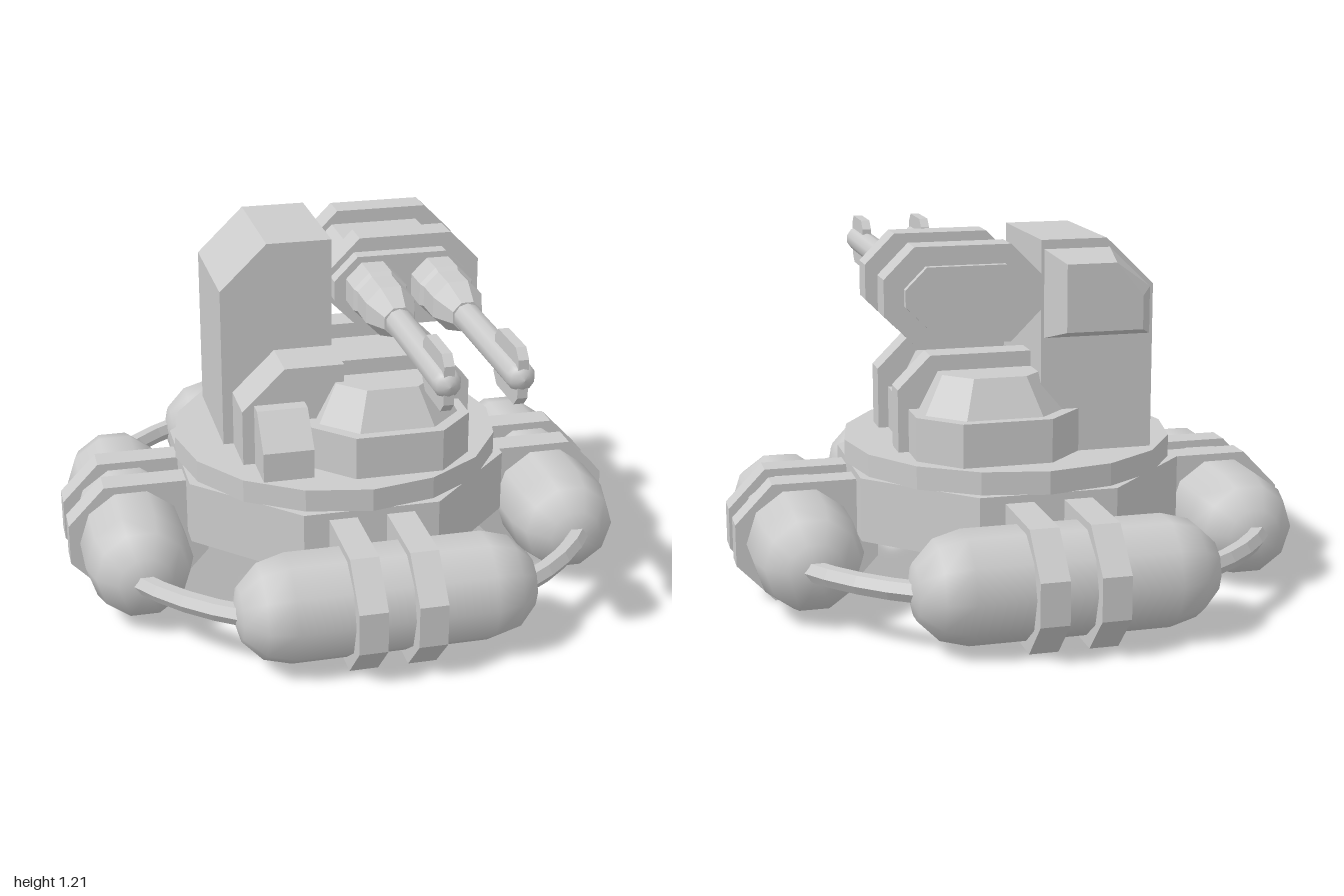
import * as THREE from 'three';

const mat = new THREE.MeshStandardMaterial({ color: 0xcccccc });
const flat = new THREE.MeshStandardMaterial({ color: 0xcccccc, flatShading: true });

function add(parent, name, geometry, material = flat) {
  const mesh = new THREE.Mesh(geometry, material);
  mesh.name = name;
  parent.add(mesh);
  return mesh;
}

// Rectangle with chamfered corners, counter-clockwise
function octagon(x0, x1, y0, y1, c) {
  return [[x0 + c, y0], [x1 - c, y0], [x1, y0 + c], [x1, y1 - c],
    [x1 - c, y1], [x0 + c, y1], [x0, y1 - c], [x0, y0 + c]];
}

// Front profile pushed along z
function slab(points, z0, z1, hole) {
  const shape = new THREE.Shape(points.map(p => new THREE.Vector2(...p)));
  if (hole) shape.holes.push(new THREE.Path(hole.map(p => new THREE.Vector2(...p))));
  return new THREE.ExtrudeGeometry(shape, { depth: z1 - z0, bevelEnabled: false }).translate(0, 0, z0);
}

// Solid through matching rings, each counter-clockwise seen from the last one
function loft(rings) {
  const pos = [], n = rings[0].length;
  const tri = (a, b, c) => pos.push(...a, ...b, ...c);
  for (let r = 0; r < rings.length - 1; r++) {
    for (let i = 0; i < n; i++) {
      const j = (i + 1) % n, a = rings[r], b = rings[r + 1];
      tri(a[i], a[j], b[j]);
      tri(a[i], b[j], b[i]);
    }
  }
  const first = rings[0], last = rings[rings.length - 1];
  for (let i = 1; i < n - 1; i++) {
    tri(first[0], first[i + 1], first[i]);
    tri(last[0], last[i], last[i + 1]);
  }
  const g = new THREE.BufferGeometry();
  g.setAttribute('position', new THREE.Float32BufferAttribute(pos, 3));
  g.computeVertexNormals();
  return g;
}

// Four floats with straps, joined by curved pipes
function buildFloats() {
  const floats = new THREE.Group();
  floats.name = 'floatRing';
  const strap = [[0.955, 0.13], [0.955, 0.27], [0.83, 0.4], [0.48, 0.4],
    [0.48, 0.13], [0.6, 0], [0.83, 0]];
  for (let i = 0; i < 4; i++) {
    const unit = new THREE.Group();
    unit.name = 'floatUnit';
    unit.rotation.y = i * Math.PI / 2;
    add(unit, 'float', new THREE.CapsuleGeometry(0.18, 0.65, 3, 10)
      .rotateX(Math.PI / 2).translate(0.74, 0.203, 0), mat);
    for (const z of [-0.097, 0.097]) add(unit, 'floatStrap', slab(strap, z - 0.047, z + 0.047));
    add(unit, 'connectingPipe', new THREE.TorusGeometry(0.89, 0.035, 6, 6, 0.75)
      .rotateZ(Math.PI / 4 - 0.375).rotateX(Math.PI / 2).translate(0, 0.205, 0));
    floats.add(unit);
  }
  return floats;
}

// Hollow octagonal skirt under a round deck
function buildBase() {
  const base = new THREE.Group();
  base.name = 'base';
  const skirt = slab(octagon(-0.55, 0.55, -0.55, 0.55, 0.322), 0.21, 0.425,
    octagon(-0.52, 0.52, -0.52, 0.52, 0.305)).rotateX(-Math.PI / 2);
  add(base, 'skirt', skirt);
  add(base, 'deck', new THREE.CylinderGeometry(0.563, 0.563, 0.077, 16).translate(0, 0.462, 0));
  return base;
}

// Low cabin with sloped roof and two hoops
function buildCabin() {
  const cabin = new THREE.Group();
  cabin.name = 'cabin';
  const ring = (inset, y) => octagon(-0.16 + inset, 0.385 - inset, -0.43 + inset, 0.51 - inset, 0.125 - inset * 0.4)
    .map(([x, v]) => [x, y, -v]);
  add(cabin, 'cabinBody', loft([ring(0, 0.5), ring(0, 0.645), ring(0.035, 0.645), ring(0.1, 0.768)]));
  const hoop = [[-0.2, 0.5], [0.42, 0.5], [0.42, 0.71], [0.31, 0.82], [-0.09, 0.82], [-0.2, 0.71]];
  for (const z of [0.133, -0.213]) add(cabin, 'cabinHoop', slab(hoop, z - 0.048, z + 0.048));
  return cabin;
}

// Tall pillar holding the guns, with stepped blocks before and behind it
function buildPillar() {
  const pillar = new THREE.Group();
  pillar.name = 'pillar';
  add(pillar, 'pillarBody', slab([[-0.41, 0.5], [-0.03, 0.5], [-0.03, 1.205],
    [-0.25, 1.205], [-0.41, 1.05]], -0.385, 0.055));
  add(pillar, 'frontBlock', slab([[-0.375, 0.5], [-0.08, 0.5], [-0.03, 0.56], [-0.03, 0.83],
    [-0.23, 0.83], [-0.375, 0.69]], 0.05, 0.235));
  const step = [[-0.23, 0.5], [-0.385, 0.5], [-0.385, 0.6], [-0.285, 0.71], [-0.23, 0.71]];
  add(pillar, 'frontStep', slab(step, -0.085, 0.085).rotateY(Math.PI / 2).translate(-0.25, 0, 0));
  const outer = [[-0.4, 0.885], [-0.04, 0.885], [-0.04, 1.175], [-0.26, 1.175], [-0.4, 1.04]];
  const inner = [[-0.34, 0.92], [-0.085, 0.92], [-0.085, 1.14], [-0.25, 1.14], [-0.34, 1.03]];
  add(pillar, 'backBlock', loft([inner.map(p => [...p, -0.495]), outer.map(p => [...p, -0.385])]));
  return pillar;
}

// Gun housing with two bands and a pair of barrels
function buildGuns() {
  const guns = new THREE.Group();
  guns.name = 'guns';
  add(guns, 'gunHousing', slab(octagon(-0.03, 0.435, 0.925, 1.15, 0.08), -0.385, 0.095));
  add(guns, 'rearPanel', slab(octagon(0.02, 0.42, 0.94, 1.135, 0.07), -0.41, -0.38));
  for (const z of [-0.01, -0.333]) {
    add(guns, 'gunBand', slab(octagon(-0.03, 0.485, 0.88, 1.197, 0.1), z - 0.052, z + 0.052));
  }
  const fin = [[0.765, -0.06], [0.795, -0.09], [0.955, -0.09], [0.985, -0.06],
    [0.985, 0.06], [0.955, 0.09], [0.795, 0.09], [0.765, 0.06]];
  for (const x of [0.1, 0.325]) {
    const gun = new THREE.Group();
    gun.name = 'gun';
    gun.position.set(x, 1.04, 0);
    const sleeve = [[0, 0.06], [0.097, 0.06], [0.097, 0.2], [0.088, 0.22], [0.088, 0.33], [0.052, 0.44], [0, 0.44]]
      .map(p => new THREE.Vector2(...p));
    add(gun, 'barrelSleeve', new THREE.LatheGeometry(sleeve, 8, Math.PI / 8).rotateX(Math.PI / 2));
    const tube = [[0.045, 0.4], [0.045, 0.96], [0.038, 0.98], [0.022, 0.995], [0, 1]]
      .map(p => new THREE.Vector2(...p));
    add(gun, 'barrel', new THREE.LatheGeometry(tube, 10).rotateX(Math.PI / 2), mat);
    add(gun, 'muzzleFin', slab(fin, -0.016, 0.016).rotateY(-Math.PI / 2));
    guns.add(gun);
  }
  return guns;
}

export function createModel() {
  const model = new THREE.Group();
  model.name = 'floatingGunTurret';
  const hull = new THREE.Group();
  hull.name = 'hull';
  hull.position.z = -0.045;
  hull.add(buildFloats(), buildBase());
  model.add(hull, buildCabin(), buildPillar(), buildGuns());
  return model;
}
